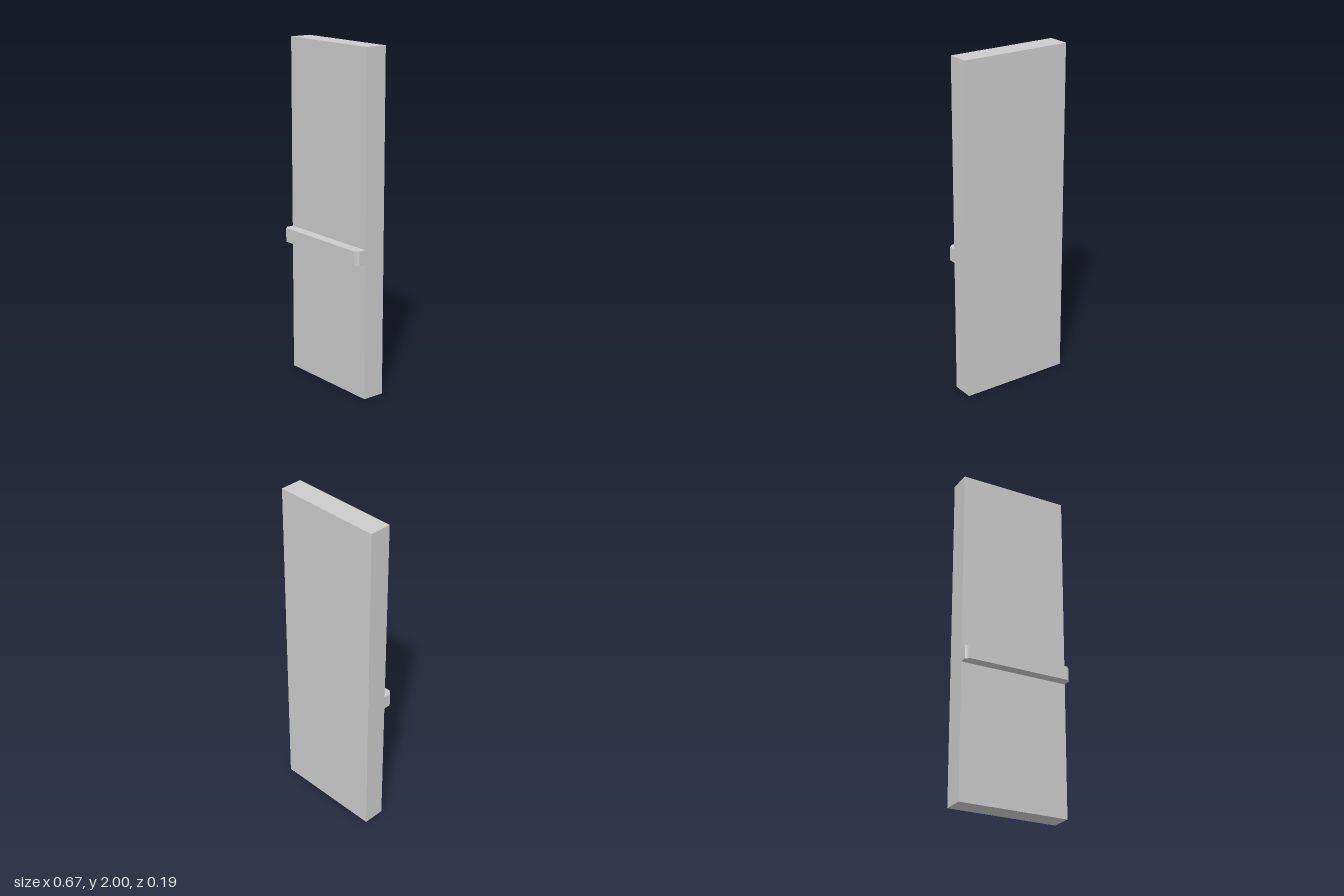
import * as THREE from 'three';

export function createModel() {
  const group = new THREE.Group();
  const material = new THREE.MeshStandardMaterial({ color: 0xcccccc, flatShading: true });
  const halfWidth = 0.333, back = -0.098, panelFront = 0.034, railFront = 0.097;

  // Tall flat slab
  const depth = panelFront - back;
  const panel = new THREE.Mesh(new THREE.BoxGeometry(halfWidth * 2, 2, depth), material);
  panel.name = 'panel';
  panel.position.set(0, 1, back + depth / 2);
  group.add(panel);

  // Horizontal rail with coved front corners: plan outline (x, z) extruded upwards
  const corner = [[halfWidth, panelFront], [halfWidth, 0.078], [0.32, 0.084], [0.314, railFront]];
  const outline = [...corner, ...corner.map(([x, z]) => [-x, z]).reverse()];
  const shape = new THREE.Shape(outline.map(([x, z]) => new THREE.Vector2(x, -z)));
  const railGeometry = new THREE.ExtrudeGeometry(shape, { depth: 0.083, bevelEnabled: false });
  railGeometry.rotateX(-Math.PI / 2);
  const rail = new THREE.Mesh(railGeometry, material);
  rail.name = 'rail';
  rail.position.y = 0.801;
  group.add(rail);

  return group;
}
